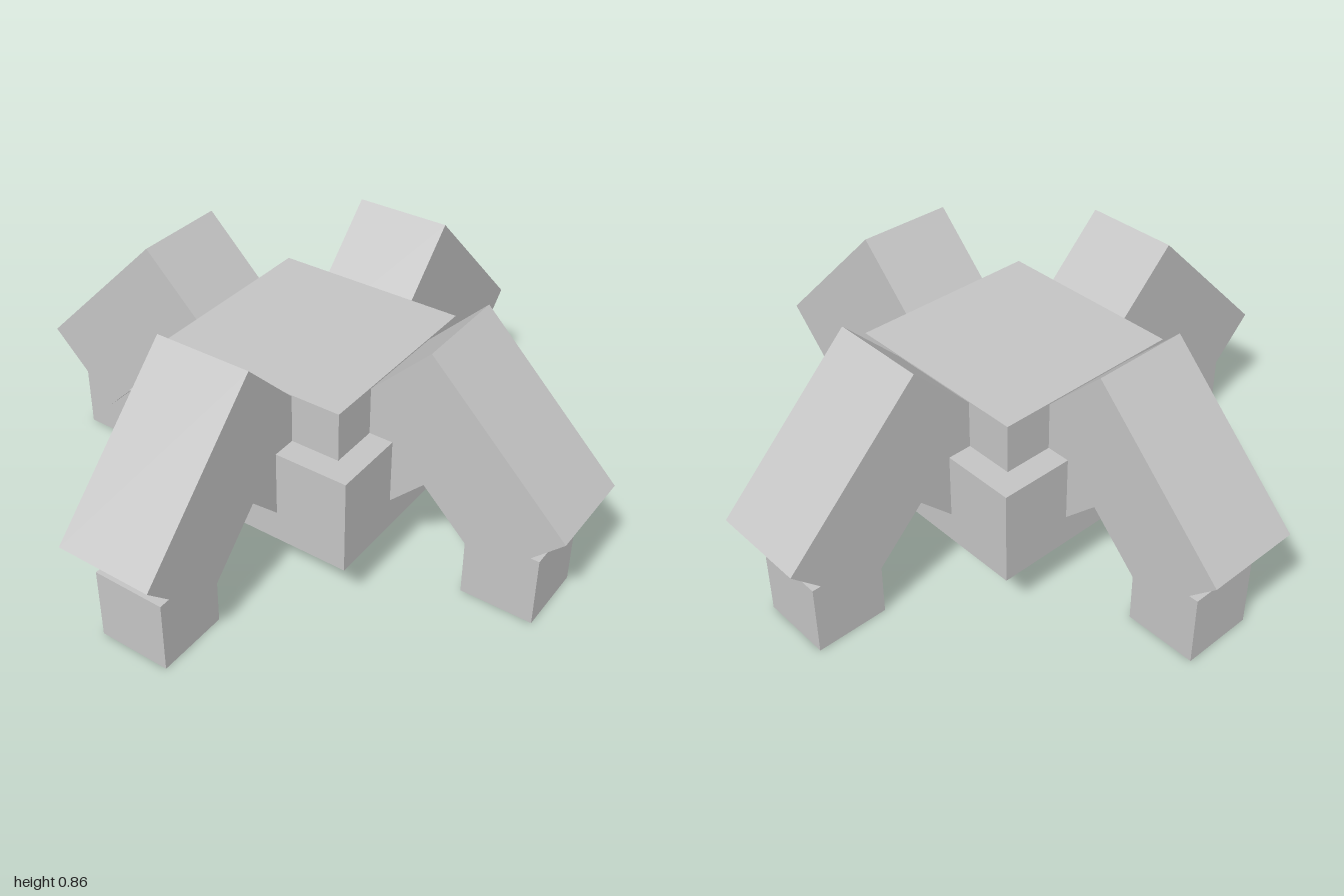
import * as THREE from 'three';

export function createModel() {
  const model = new THREE.Group();
  const grey = new THREE.MeshStandardMaterial({ color: 0xc4c4c4 });
  grey.name = 'plain grey';

  const add = (parent, name, geometry, x, y, z) => {
    const mesh = new THREE.Mesh(geometry, grey);
    mesh.name = name;
    mesh.position.set(x, y, z);
    parent.add(mesh);
  };

  // Stepped square body
  add(model, 'lowerBody', new THREE.BoxGeometry(0.83, 0.33, 0.83), 0, 0.335, 0);
  add(model, 'upperBody', new THREE.BoxGeometry(0.666, 0.22, 0.666), 0, 0.557, 0);

  // Bent leg: thigh rising out of the body, shin sloping down at a right angle
  const legShape = new THREE.Shape([
    [0.53, 0.86], [0.141, 0.471], [0.376, 0.236],
    [0.53, 0.39], [0.765, 0.155], [1, 0.39],
  ].map(([x, y]) => new THREE.Vector2(x, y)));
  const legGeometry = new THREE.ExtrudeGeometry(legShape, { depth: 0.33, bevelEnabled: false });
  const footGeometry = new THREE.BoxGeometry(0.248, 0.25, 0.248);

  // Four identical legs around the body
  ['leftLeg', 'backLeg', 'rightLeg', 'frontLeg'].forEach((name, i) => {
    const leg = new THREE.Group();
    leg.name = name;
    add(leg, 'bentLeg', legGeometry, 0, 0, -0.165);
    add(leg, 'foot', footGeometry, 0.788, 0.125, 0);
    leg.rotation.y = i * Math.PI / 2;
    model.add(leg);
  });

  return model;
}
